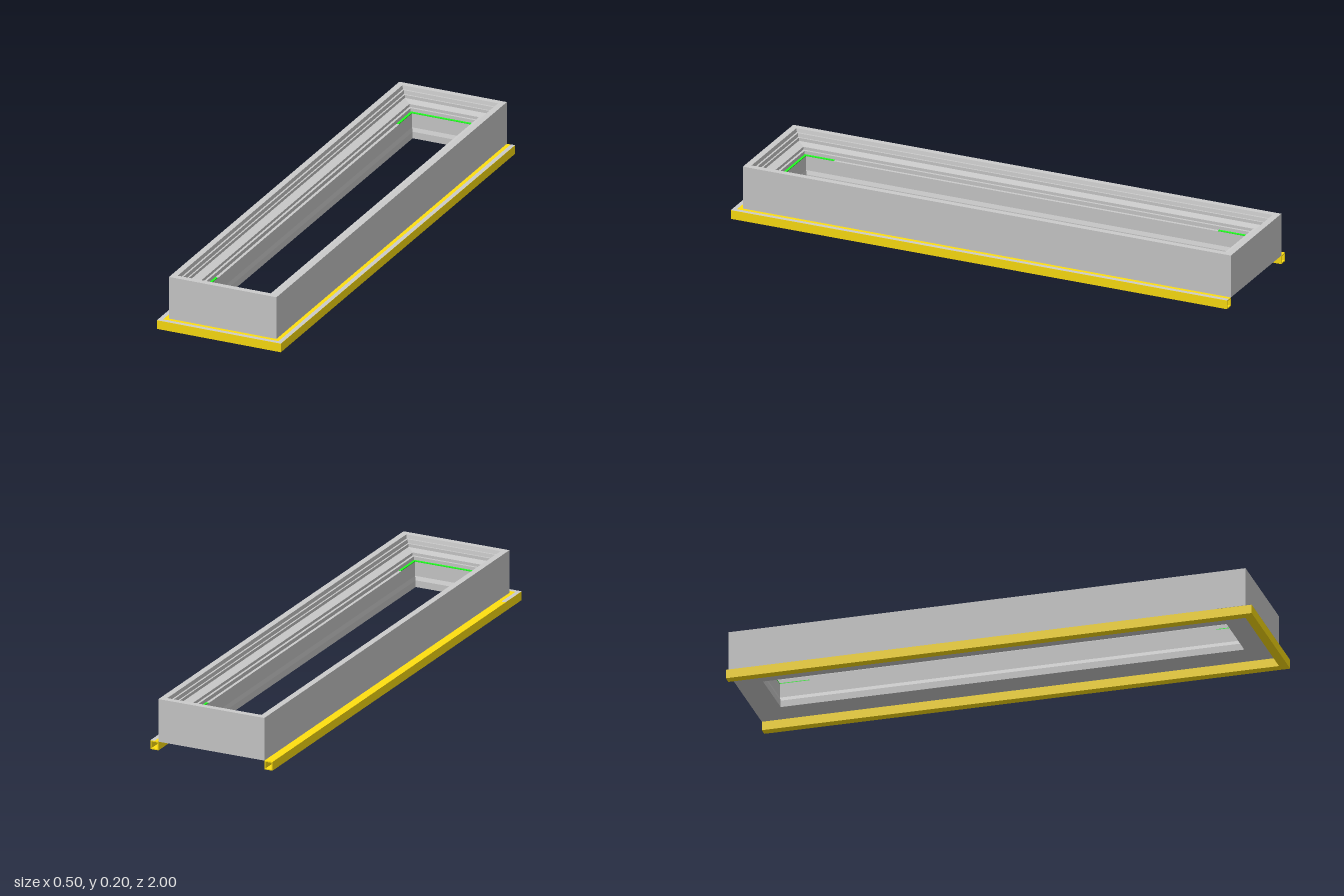
import * as THREE from 'three';

const HX = 0.217, BACK = -1, FRONT = 0.967; // outer faces of the frame

const paint = (color) => new THREE.MeshStandardMaterial({ color, flatShading: true, side: THREE.DoubleSide });

function mesh(name, geometry, material) {
  const m = new THREE.Mesh(geometry, material);
  m.name = name;
  return m;
}

// Sweeps a profile of [inset, height] points along mitred corners.
// cornersAt(inset) gives the [x, z] corners of the path at that inset.
function sweep(profile, cornersAt, closedPath, closedProfile = true) {
  const pos = [];
  const n = cornersAt(0).length;
  const segs = closedProfile ? profile.length : profile.length - 1;
  for (let i = 0; i < segs; i++) {
    const [dp, yp] = profile[i], [dq, yq] = profile[(i + 1) % profile.length];
    const p = cornersAt(dp), q = cornersAt(dq);
    for (let k = 0; k < (closedPath ? n : n - 1); k++) {
      const j = (k + 1) % n;
      const ap = [p[k][0], yp, p[k][1]], bp = [p[j][0], yp, p[j][1]];
      const aq = [q[k][0], yq, q[k][1]], bq = [q[j][0], yq, q[j][1]];
      pos.push(...ap, ...bp, ...bq, ...ap, ...bq, ...aq);
    }
  }
  const g = new THREE.BufferGeometry();
  g.setAttribute('position', new THREE.Float32BufferAttribute(pos, 3));
  g.computeVertexNormals();
  return g;
}

export function createModel() {
  const group = new THREE.Group();
  const grey = paint(0xcccccc), yellow = paint(0xffe010), green = paint(0x20ff20);

  // Stepped rectangular frame
  const ring = (d) => [
    [HX - d, FRONT - d], [HX - d, BACK + d], [-HX + d, BACK + d], [-HX + d, FRONT - d],
  ];
  const frameProfile = [
    [0, 0.034], [0, 0.2], [0.024, 0.2], [0.027, 0.186], [0.034, 0.186], [0.036, 0.172],
    [0.042, 0.172], [0.042, 0.16], [0.077, 0.156], [0.077, 0.145], [0.086, 0.145],
    [0.086, 0.13], [0.097, 0.13], [0.097, 0.075], [0.102, 0.06], [0.102, 0.034],
  ];
  group.add(mesh('frame', sweep(frameProfile, ring, true), grey));

  // Hollow square trim around the left, front and right, open at the back
  const T = 0.033, W = 0.004;
  const uPath = (d) => [
    [-HX - T + d, BACK], [-HX - T + d, FRONT + T - d], [HX + T - d, FRONT + T - d], [HX + T - d, BACK],
  ];
  const outer = [[0, 0], [0, 0.034], [T, 0.034], [T, 0]];
  const inner = [[W, W], [T - W, W], [T - W, 0.034 - W], [W, 0.034 - W]];
  const trim = new THREE.Group();
  trim.name = 'trim';
  trim.add(mesh('trimOutside', sweep(outer, uPath, false), yellow));
  trim.add(mesh('trimInside', sweep(inner, uPath, false), yellow));
  for (const s of [-1, 1]) {
    const end = new THREE.Shape(outer.map(([d, y]) => new THREE.Vector2(s * (HX + T - d), y)));
    end.holes.push(new THREE.Path(inner.map(([d, y]) => new THREE.Vector2(s * (HX + T - d), y))));
    const cap = mesh('trimEnd', new THREE.ShapeGeometry(end), yellow);
    cap.position.z = BACK;
    trim.add(cap);
  }
  group.add(trim);

  // Grey cover strip on top of the trim, short on the right side
  const coverPath = (d) => uPath(d).map(([x, z], i) => [x, i === 0 ? 0.87 : z]);
  group.add(mesh('coverStrip', sweep([[0, 0.0346], [0.017, 0.0346]], coverPath, false, false), grey));

  // Green seals on the inner ledge at both ends
  for (const [name, end, s] of [['backSeal', BACK, 1], ['frontSeal', FRONT, -1]]) {
    const path = (d) => {
      const x = HX - d, z = end + s * d, tip = end + s * 0.21;
      return s > 0
        ? [[x, tip], [x, z], [-x, z], [-x, tip]]
        : [[-x, tip], [-x, z], [x, z], [x, tip]];
    };
    const seal = [[0.088, 0.13], [0.088, 0.133], [0.097, 0.133], [0.097, 0.13]];
    group.add(mesh(name, sweep(seal, path, false), green));
  }
  return group;
}
